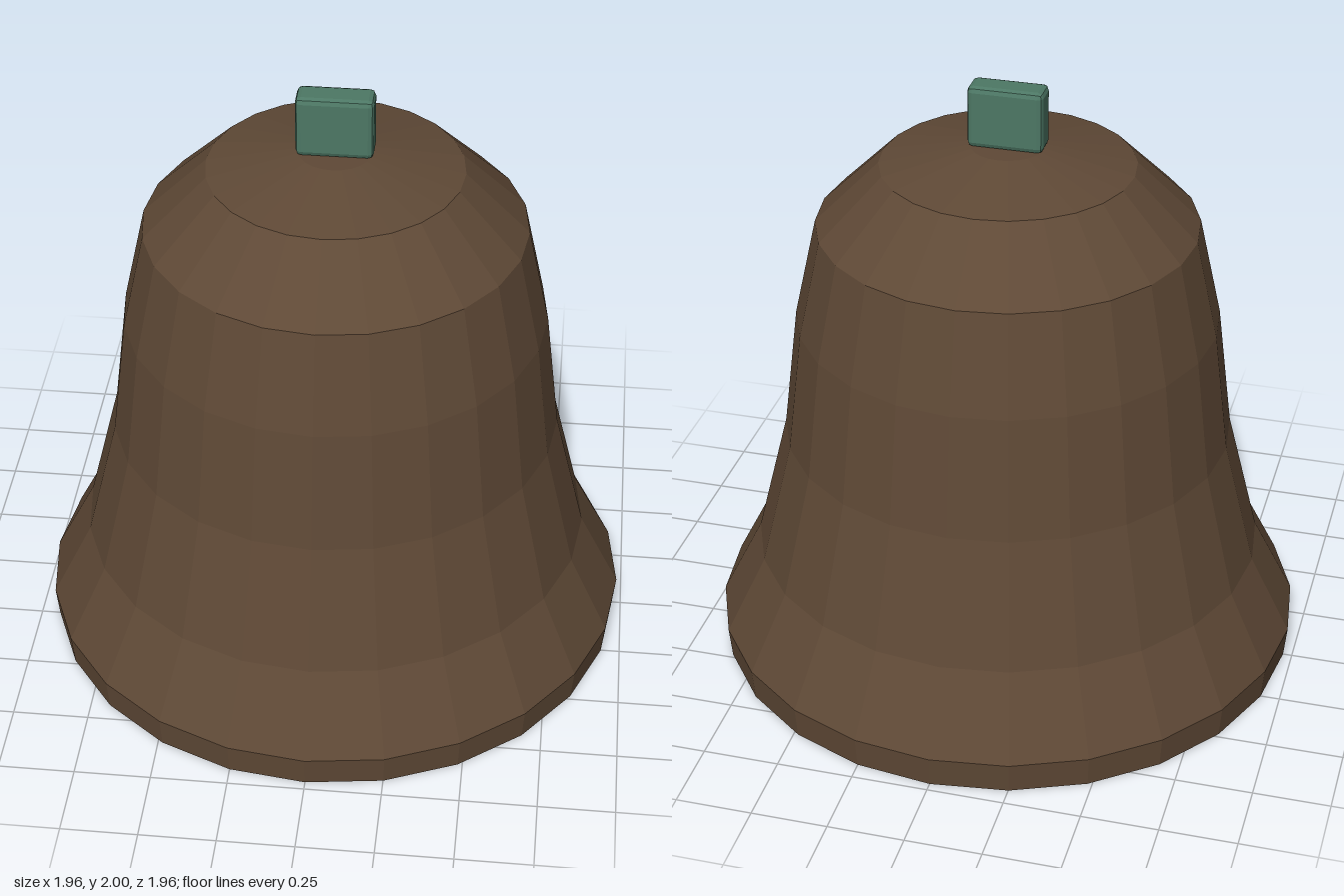
import * as THREE from 'three';
import { RoundedBoxGeometry } from 'three/addons/geometries/RoundedBoxGeometry.js';

const flat = (name, color) => {
  const m = new THREE.MeshStandardMaterial({ color, flatShading: true });
  m.name = name;
  return m;
};

function lathe(name, profile, sides, material) {
  const points = profile.map(([r, y]) => new THREE.Vector2(r, y));
  const mesh = new THREE.Mesh(new THREE.LatheGeometry(points, sides), material);
  mesh.name = name;
  return mesh;
}

export function createModel() {
  const bronze = flat('bronze', 0x5f4936);
  const patina = flat('green patina', 0x4d7865);
  const group = new THREE.Group();
  group.name = 'bell';

  // Hollow shell: down the inside wall, across the sloping lip, up the outside
  group.add(lathe('bellShell', [
    [0, 1.69], [0.11, 1.69], [0.36, 1.64], [0.525, 1.48], [0.585, 1.18], [0.635, 0.77],
    [0.74, 0.34], [0.863, 0.07],
    [0.97, 0], [0.98, 0.105], [0.845, 0.37], [0.74, 0.79], [0.69, 1.2],
    [0.617, 1.53], [0.41, 1.735], [0.12, 1.797], [0, 1.797],
  ], 24, bronze));

  // Clapper hanging on a thin rod
  group.add(lathe('clapper', [
    [0, 0.39], [0.045, 0.39], [0.145, 0.49], [0.14, 0.54], [0.045, 0.68], [0.04, 1.69],
  ], 12, bronze));

  // Chamfered hanging block on the crown
  const handle = new THREE.Mesh(new RoundedBoxGeometry(0.245, 0.205, 0.1, 1, 0.018), patina);
  handle.name = 'hangingBlock';
  handle.position.y = 1.8975;
  group.add(handle);

  return group;
}
